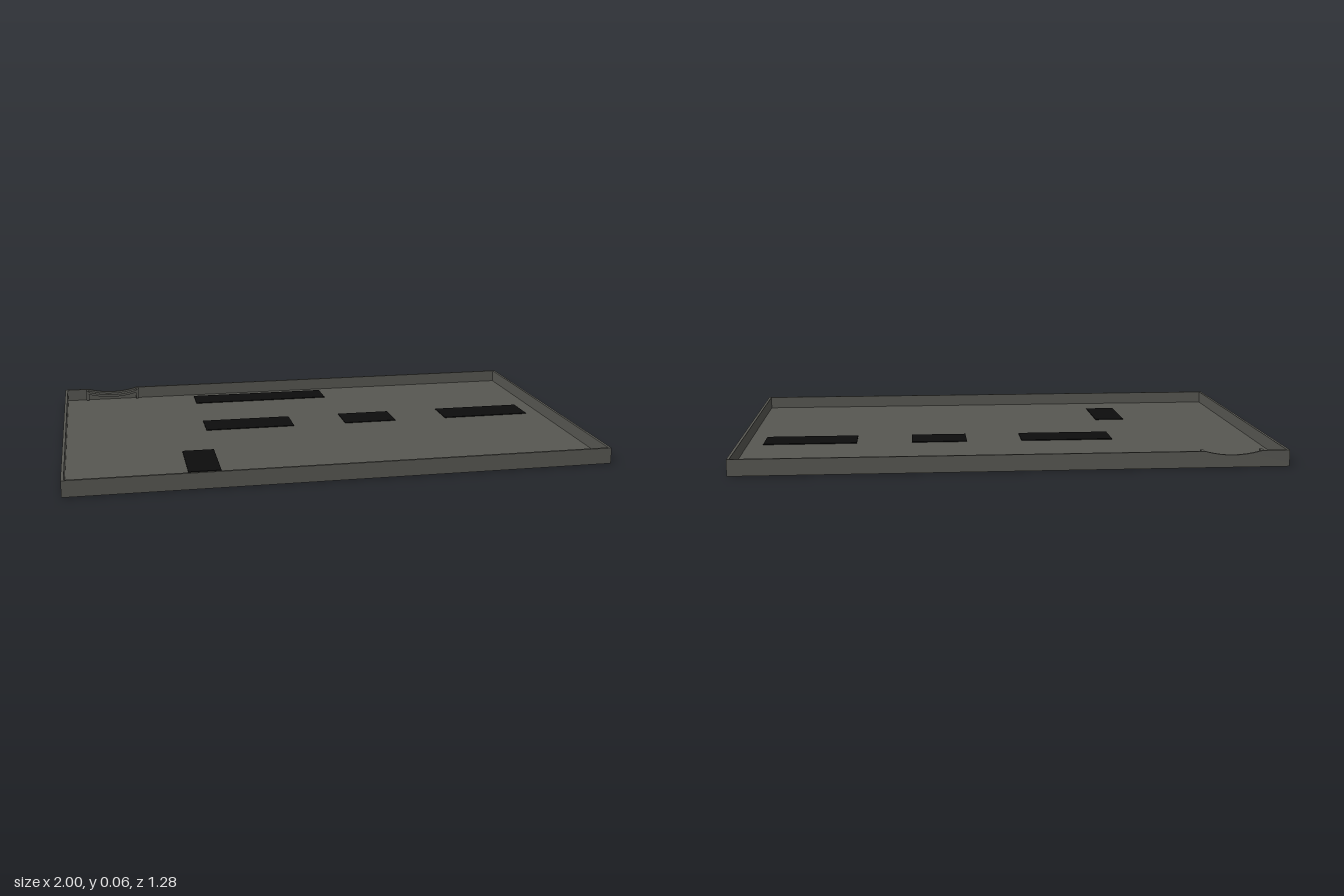
import * as THREE from 'three';

const W = 2, D = 1.285, H = 0.06, T = 0.01, FLOOR = 0.012;

export function createModel() {
  const group = new THREE.Group();
  const casing = new THREE.MeshStandardMaterial({ color: 0x575752 });
  casing.name = 'dark grey casing';
  const black = new THREE.MeshStandardMaterial({ color: 0x0d0d0d });
  black.name = 'black panel';

  const add = (name, geometry, material, x, y, z) => {
    const mesh = new THREE.Mesh(geometry, material);
    mesh.name = name;
    mesh.position.set(x, y, z);
    group.add(mesh);
  };
  const box = (name, material, w, h, d, x, y, z) =>
    add(name, new THREE.BoxGeometry(w, h, d), material, x, y, z);

  // Tray floor and plain walls
  const wallH = H - FLOOR, wallY = FLOOR + wallH / 2;
  box('floor', casing, W, FLOOR, D, 0, FLOOR / 2, 0);
  box('frontWall', casing, W, wallH, T, 0, wallY, D / 2 - T / 2);
  for (const s of [-1, 1]) {
    box(s > 0 ? 'leftWall' : 'rightWall', casing, T, wallH, D - 2 * T, s * (W / 2 - T / 2), wallY, 0);
  }

  // Back wall with a shallow finger scoop in its top edge
  const scoopL = -0.9, scoopR = -0.69, mid = (scoopL + scoopR) / 2;
  const back = new THREE.Shape();
  back.moveTo(-W / 2, FLOOR);
  back.lineTo(W / 2, FLOOR);
  back.lineTo(W / 2, H);
  back.lineTo(scoopR, H);
  back.quadraticCurveTo(mid, H - 0.03, scoopL, H);
  back.lineTo(-W / 2, H);
  back.closePath();
  add('backWall', new THREE.ExtrudeGeometry(back, { depth: T, bevelEnabled: false, curveSegments: 12 }),
    casing, 0, 0, -D / 2);

  // Curved cradle and end lugs inside the scoop
  const cradle = new THREE.Shape();
  cradle.moveTo(scoopL, H - 0.008);
  cradle.quadraticCurveTo(mid, H - 0.038, scoopR, H - 0.008);
  cradle.lineTo(scoopR, H - 0.018);
  cradle.quadraticCurveTo(mid, H - 0.048, scoopL, H - 0.018);
  cradle.closePath();
  add('latchCradle', new THREE.ExtrudeGeometry(cradle, { depth: 0.025, bevelEnabled: false, curveSegments: 12 }),
    casing, 0, 0, -D / 2 + T);
  for (const x of [scoopL - 0.004, scoopR + 0.004]) {
    box('latchLug', casing, 0.012, 0.042, 0.03, x, H - 0.023, -D / 2 + T + 0.015);
  }

  // Black panels on the floor: x range, z range
  const panels = [
    [-0.435, 0.14, -0.6, -0.475],
    [-0.435, -0.075, -0.18, -0.04],
    [0.14, 0.355, -0.18, -0.04],
    [0.57, 0.93, -0.18, -0.04],
    [-0.555, -0.435, 0.23, 0.49],
  ];
  for (const [x0, x1, z0, z1] of panels) {
    box('floorPanel', black, x1 - x0, 0.003, z1 - z0, (x0 + x1) / 2, FLOOR + 0.0015, (z0 + z1) / 2);
  }
  return group;
}
